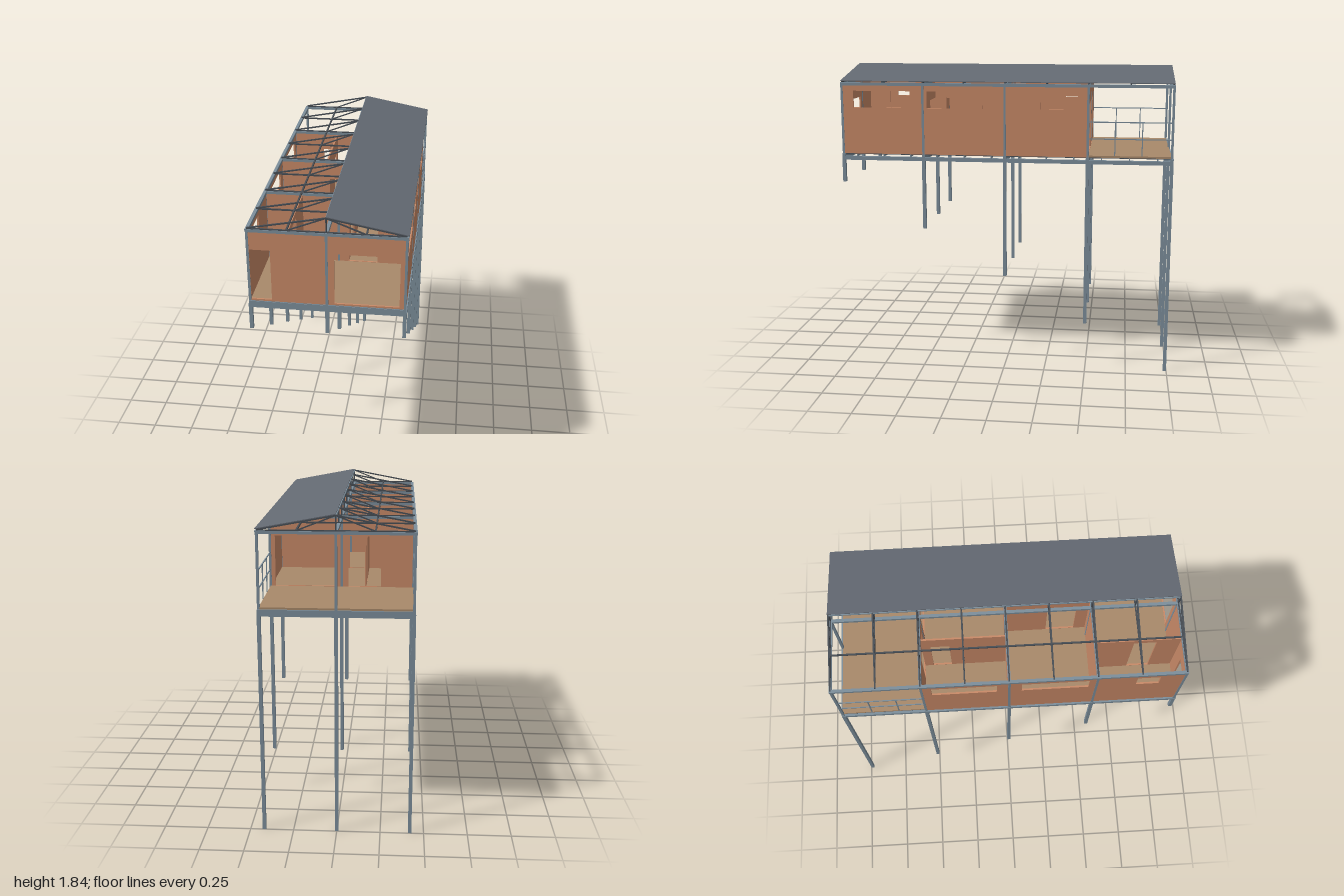
import * as THREE from 'three';

export function createModel() {
  const model = new THREE.Group();
  const mat = (name, color, side = THREE.FrontSide) => {
    const m = new THREE.MeshStandardMaterial({ color, side });
    m.name = name;
    return m;
  };
  const steel = mat('blue grey steel', 0x7d8f9c);
  const dark = mat('dark steel', 0x484e55);
  const clay = mat('clay wall', 0xc98a68);
  const deck = mat('tan floor', 0xa9896a);
  const roofMat = mat('roof sheet', 0x646a73, THREE.DoubleSide);

  const group = (name) => {
    const g = new THREE.Group();
    g.name = name;
    model.add(g);
    return g;
  };
  // Box given by its minimum and maximum corners
  const box = (parent, name, a, b, m) => {
    const mesh = new THREE.Mesh(new THREE.BoxGeometry(b[0] - a[0], b[1] - a[1], b[2] - a[2]), m);
    mesh.position.set((a[0] + b[0]) / 2, (a[1] + b[1]) / 2, (a[2] + b[2]) / 2);
    mesh.name = name;
    parent.add(mesh);
  };
  // Square bar between two points
  const bar = (parent, name, a, b, w, m) => {
    const p = new THREE.Vector3(...a), q = new THREE.Vector3(...b);
    const mesh = new THREE.Mesh(new THREE.BoxGeometry(w, w, p.distanceTo(q)), m);
    mesh.position.copy(p).add(q).multiplyScalar(0.5);
    mesh.lookAt(q);
    mesh.name = name;
    parent.add(mesh);
  };
  // Wall slab from u0 to u1 with openings [u0, u1, y0, y1]; alongZ turns it to face sideways
  const T = 0.01;
  const wall = (parent, name, u0, u1, at, alongZ, openings) => {
    const rect = (P, a, b, c, d) => {
      const p = new P();
      p.moveTo(a, c); p.lineTo(b, c); p.lineTo(b, d); p.lineTo(a, d); p.closePath();
      return p;
    };
    const s = rect(THREE.Shape, u0, u1, 1.32, 1.735);
    for (const o of openings) s.holes.push(rect(THREE.Path, ...o));
    const g = new THREE.ExtrudeGeometry(s, { depth: T, bevelEnabled: false });
    g.translate(0, 0, -T / 2);
    if (alongZ) g.rotateY(-Math.PI / 2);
    const mesh = new THREE.Mesh(g, clay);
    mesh.position.set(alongZ ? at : 0, 0, alongZ ? 0 : at);
    mesh.name = name;
    parent.add(mesh);
  };

  const X = 0.42, Z = 0.99;
  const rows = [0.99, 0.495, 0, -0.495, -0.99];
  const feet = [1.145, 0.86, 0.575, 0.288, 0];

  // Columns: stout stilts below, slimmer posts above the floor
  const columns = group('columns');
  rows.forEach((z, i) => {
    for (const x of [-X, 0, X]) {
      box(columns, 'stilt', [x - 0.01, feet[i], z - 0.01], [x + 0.01, 1.3, z + 0.01], steel);
      box(columns, 'post', [x - 0.007, 1.3, z - 0.007], [x + 0.007, 1.74, z + 0.007], steel);
    }
  });

  // Floor frame, joists, deck and underside sheet
  const floor = group('floor');
  for (const x of [-X, 0, X])
    box(floor, 'floorBeam', [x - 0.01, 1.28, -Z - 0.008], [x + 0.01, 1.303, Z + 0.008], steel);
  for (const x of [-0.21, 0.21])
    box(floor, 'middleJoist', [x - 0.005, 1.285, -Z], [x + 0.005, 1.3, Z], steel);
  for (const z of rows)
    box(floor, 'crossBeam', [-X - 0.008, 1.281, z - 0.01], [X + 0.008, 1.319, z + 0.01], steel);
  for (let i = 0; i < 12; i++) {
    const z = -Z + (Math.floor(i / 3) * 3 + (i % 3) + 0.5) * (2 * Z / 12);
    box(floor, 'joist', [-X, 1.302, z - 0.003], [X, 1.319, z + 0.003], steel);
  }
  box(floor, 'deck', [-X, 1.319, -Z], [X, 1.33, Z], deck);
  box(floor, 'undersideSheet', [0, 1.315, -Z], [X, 1.3185, Z], dark);
  box(floor, 'frontSill', [-X, 1.28, Z], [X, 1.322, Z + 0.008], steel);

  // Outside walls
  const walls = group('walls');
  wall(walls, 'leftWall', -0.495, 0.99, X, true,
    [[0.56, 0.92, 1.6, 1.7], [0.25, 0.47, 1.6, 1.7], [0.035, 0.135, 1.6, 1.7], [-0.435, -0.215, 1.6, 1.7]]);
  wall(walls, 'rightWall', -0.495, 0.99, -X, true,
    [[0.72, 0.85, 1.6, 1.7], [0.07, 0.45, 1.6, 1.7], [-0.44, -0.07, 1.6, 1.7]]);
  wall(walls, 'frontWall', -X, X, Z, false,
    [[-0.412, -0.3, 1.332, 1.63], [0.04, 0.39, 1.332, 1.63]]);
  wall(walls, 'backWall', -X, X, -0.495, false,
    [[0.04, 0.39, 1.332, 1.63], [-0.23, -0.04, 1.332, 1.63]]);

  // Inside walls
  const partitions = group('partitions');
  wall(partitions, 'frontCrossWall', -X, X, 0.495, false, [[0.055, 0.225, 1.332, 1.63]]);
  wall(partitions, 'middleCrossWall', -X, X, 0, false, [[-0.12, -0.02, 1.332, 1.63]]);
  wall(partitions, 'frontRoomWall', 0.5, 0.985, -0.21, true, [[0.72, 0.85, 1.332, 1.7]]);
  wall(partitions, 'middleRoomWall', 0.005, 0.49, 0.055, true, [[0.25, 0.42, 1.332, 1.63]]);
  wall(partitions, 'backRoomWall', -0.49, -0.005, -0.14, true, [[-0.44, -0.33, 1.332, 1.63]]);

  // Ring beams on top of the walls
  const topFrame = group('topFrame');
  for (const x of [-X, 0, X])
    box(topFrame, 'topBeam', [x - 0.009, 1.732, -Z - 0.008], [x + 0.009, 1.75, Z + 0.008], steel);
  for (const z of rows)
    box(topFrame, 'topCrossBeam', [-X - 0.008, 1.733, z - 0.008], [X + 0.008, 1.749, z + 0.008], steel);

  // Trusses
  const trusses = group('trusses');
  for (let i = 0; i < 9; i++) {
    const z = -Z + i * Z / 4;
    bar(trusses, 'bottomChord', [-X, 1.751, z], [X, 1.751, z], 0.008, dark);
    bar(trusses, 'kingPost', [0, 1.75, z], [0, 1.833, z], 0.007, dark);
    for (const s of [-1, 1]) {
      bar(trusses, 'topChord', [s * X, 1.754, z], [0, 1.833, z], 0.008, dark);
      bar(trusses, 'brace', [s * 0.21, 1.751, z], [0, 1.833, z], 0.007, dark);
    }
  }
  for (const x of [-0.21, 0.21])
    bar(trusses, 'purlin', [x, 1.751, -Z], [x, 1.751, Z], 0.009, dark);
  bar(trusses, 'ridge', [0, 1.831, -Z], [0, 1.831, Z], 0.009, steel);

  // Roof sheet over one half only
  const slope = new THREE.Shape([[0, 1.838], [0.43, 1.757], [0.43, 1.761], [0, 1.842]]
    .map((p) => new THREE.Vector2(...p)));
  const roof = new THREE.Mesh(
    new THREE.ExtrudeGeometry(slope, { depth: 1.99, bevelEnabled: false }).translate(0, 0, -0.995), roofMat);
  roof.name = 'roofSheet';
  model.add(roof);

  // Railings on both sides of the open deck
  const railings = group('railings');
  for (const x of [-X, X]) {
    for (const y of [1.53, 1.43])
      bar(railings, 'rail', [x, y, -0.495], [x, y, -0.99], 0.006, steel);
    for (const z of [-0.655, -0.815])
      bar(railings, 'railPost', [x, 1.33, z], [x, 1.53, z], 0.006, steel);
  }
  return model;
}
